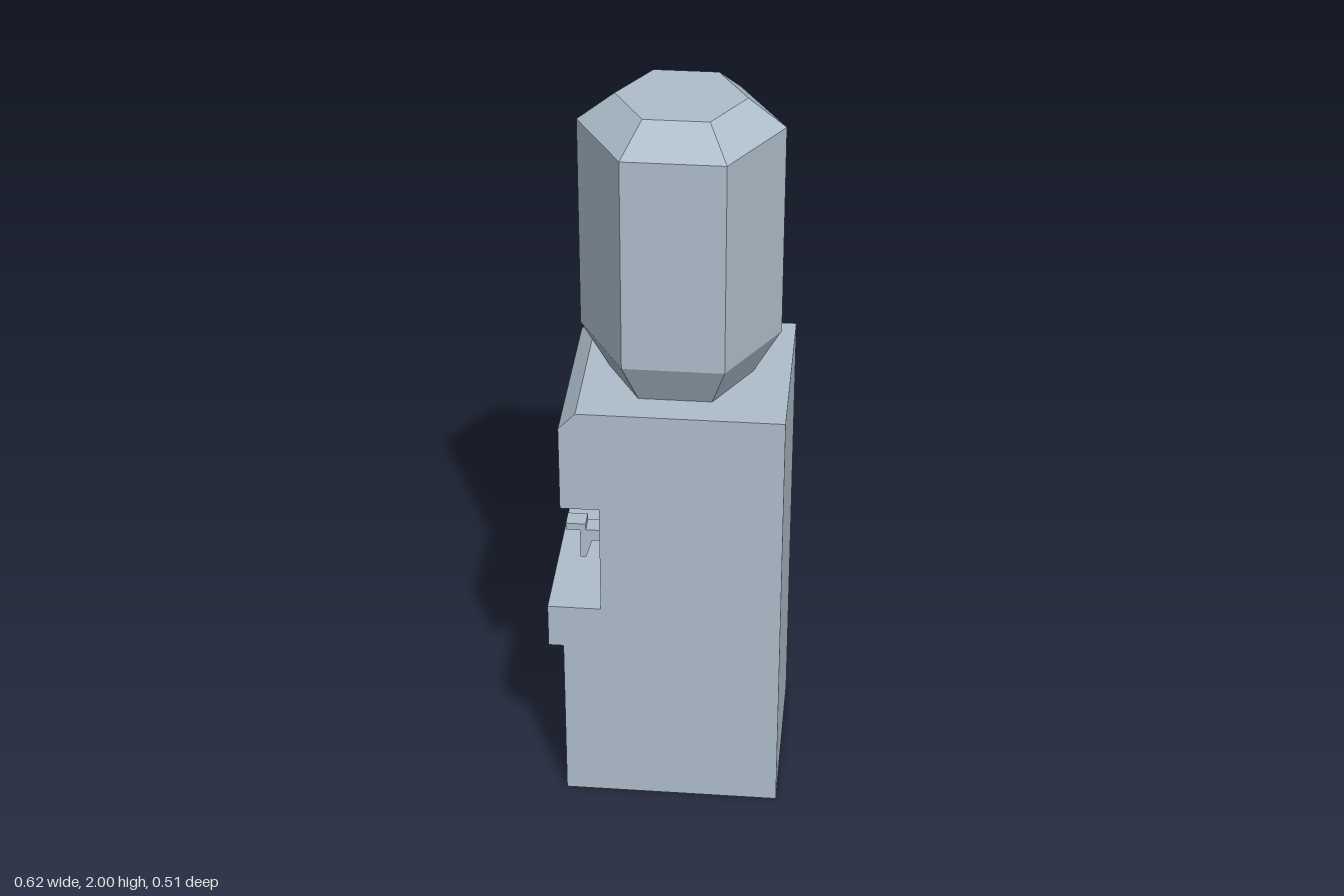
import * as THREE from 'three';

// Extrudes an x-y outline along z, centred on the given z
function slab(name, outline, depth, z, material) {
  const shape = new THREE.Shape(outline.map(([x, y]) => new THREE.Vector2(x, y)));
  const geometry = new THREE.ExtrudeGeometry(shape, { depth, bevelEnabled: false });
  geometry.translate(0, 0, z - depth / 2);
  const mesh = new THREE.Mesh(geometry, material);
  mesh.name = name;
  return mesh;
}

export function createModel() {
  const group = new THREE.Group();
  group.name = 'waterCooler';
  const blueGrey = new THREE.MeshStandardMaterial({ color: 0xaebecb });
  blueGrey.name = 'blueGrey';

  // Cabinet with chamfered top edge, dispensing recess and drip ledge
  group.add(slab('cabinet', [
    [-0.27, 0], [0.31, 0], [0.31, 1.222], [-0.225, 1.222], [-0.27, 1.175],
    [-0.27, 0.932], [-0.168, 0.932], [-0.168, 0.615],
    [-0.31, 0.615], [-0.31, 0.488], [-0.27, 0.488],
  ], 0.51, 0, blueGrey));

  // Two taps: stem, lever and tapered spout in one outline
  const tapOutline = [
    [-0.168, 0.764], [-0.2, 0.764], [-0.217, 0.71], [-0.233, 0.71], [-0.233, 0.795],
    [-0.27, 0.795], [-0.27, 0.815], [-0.217, 0.815], [-0.217, 0.797], [-0.168, 0.797],
  ];
  for (const side of [-1, 1]) {
    group.add(slab(side < 0 ? 'backTap' : 'frontTap', tapOutline, 0.05, side * 0.127, blueGrey));
  }

  // Six-sided bottle, faceted
  const profile = [[0, 1.222], [0.19, 1.222], [0.261, 1.345], [0.261, 1.925], [0.165, 2], [0, 2]]
    .map(([r, y]) => new THREE.Vector2(r, y));
  const bottleGeometry = new THREE.LatheGeometry(profile, 6, Math.PI / 2).toNonIndexed();
  bottleGeometry.computeVertexNormals();
  const bottle = new THREE.Mesh(bottleGeometry, blueGrey);
  bottle.name = 'bottle';
  bottle.position.x = 0.022;
  group.add(bottle);

  return group;
}
